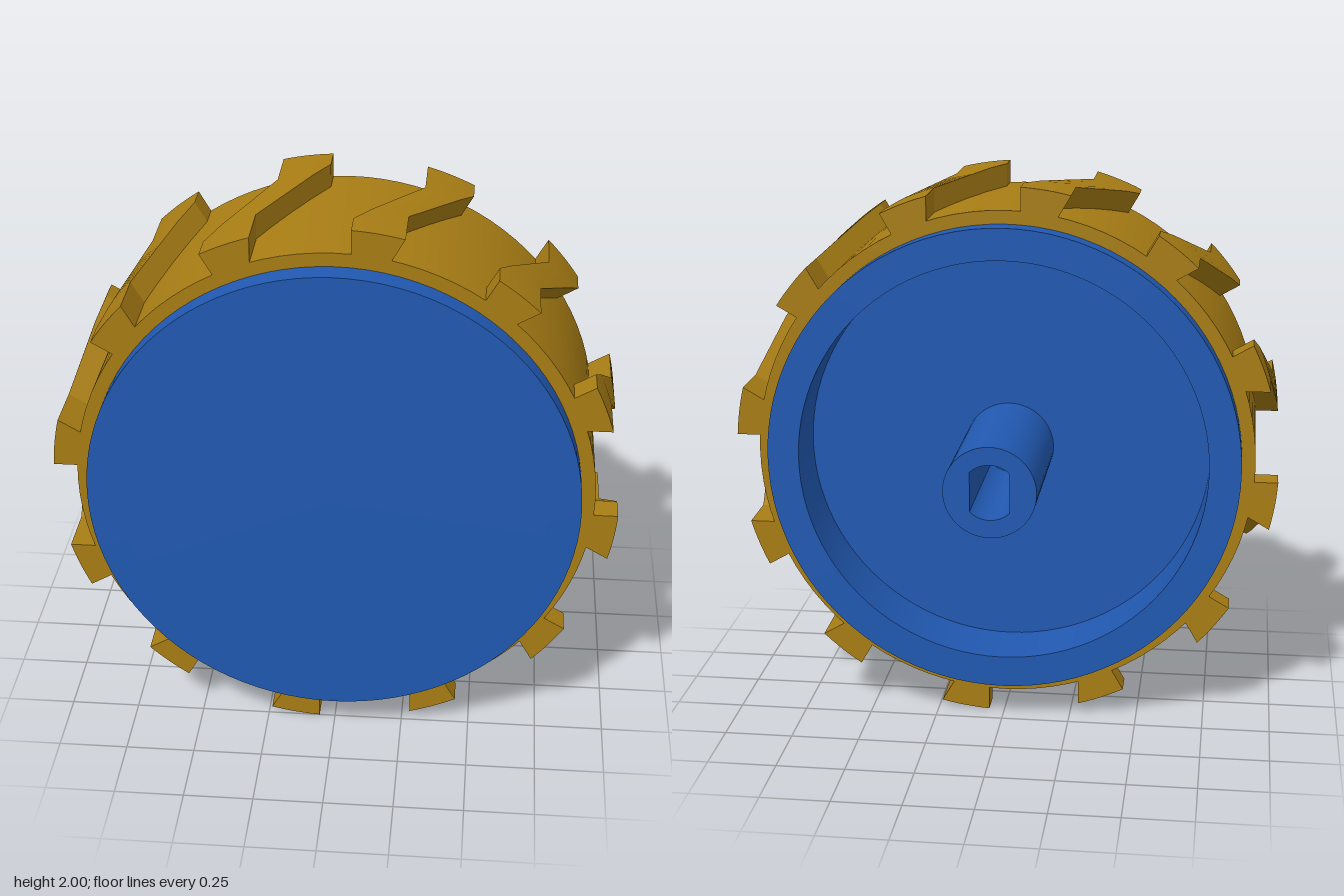
import * as THREE from 'three';
import { toCreasedNormals } from 'three/addons/utils/BufferGeometryUtils.js';

const blue = new THREE.MeshStandardMaterial({ color: 0x2159b2 });
const gold = new THREE.MeshStandardMaterial({ color: 0xa87d14 });

const RIM_R = 0.866, DISC_R = 0.75, TYRE_R = 0.915, LUG_R = 1;
const LUGS = 12, STEP = (Math.PI * 2) / LUGS;

function part(name, geometry, material) {
  const mesh = new THREE.Mesh(toCreasedNormals(geometry, 0.5), material);
  mesh.name = name;
  return mesh;
}

// Rectangular-section ring around the z axis
function ring(rIn, rOut, zBack, zFront) {
  const profile = [[rIn, zBack], [rOut, zBack], [rOut, zFront], [rIn, zFront], [rIn, zBack]]
    .map(([r, z]) => new THREE.Vector2(r, z));
  return new THREE.LatheGeometry(profile, 96).rotateX(Math.PI / 2);
}

// Axle tube with a bore that has two flats
function hubGeometry() {
  const shape = new THREE.Shape().absarc(0, 0, 0.165, 0, Math.PI * 2);
  const r = 0.1, a = Math.acos(0.07 / r);
  const bore = new THREE.Path();
  bore.absarc(0, 0, r, a, Math.PI - a);
  bore.absarc(0, 0, r, Math.PI + a, Math.PI * 2 - a);
  bore.closePath();
  shape.holes.push(bore);
  return new THREE.ExtrudeGeometry(shape, { depth: 0.585, bevelEnabled: false, curveSegments: 32 })
    .translate(0, 0, -0.585);
}

// Value that stays at "front", slopes between two depths, then stays at "back"
function slope(z, zFront, zBack, front, back) {
  const t = THREE.MathUtils.clamp((zFront - z) / (zFront - zBack), 0, 1);
  return front + (back - front) * t;
}

// Tread lug: a curved section whose two sides sweep sideways from front to back
function lugGeometry() {
  const n = 6, inner = TYRE_R - 0.02;
  const stations = [0.5, 0.4, 0.31, 0.025, -0.065, -0.165];
  const sections = stations.map((z) => {
    const low = slope(z, 0.31, -0.065, 0.28, 0.058);
    const high = slope(z, 0.4, 0.025, 0.058, 0.28);
    const arc = (r) => Array.from({ length: n + 1 }, (_, j) => {
      const a0 = Math.asin(low / r), a1 = STEP - Math.asin(high / r);
      const a = a0 + ((a1 - a0) * j) / n;
      return [r * Math.cos(a), r * Math.sin(a), z];
    });
    return [...arc(LUG_R), ...arc(inner).reverse()];
  });
  const pos = [];
  const quad = (a, b, c, d) => pos.push(...a, ...b, ...c, ...a, ...c, ...d);
  const count = 2 * n + 2;
  for (let s = 0; s < sections.length - 1; s++) {
    const f = sections[s], b = sections[s + 1];
    for (let i = 0; i < count; i++) {
      const k = (i + 1) % count;
      quad(f[i], b[i], b[k], f[k]);
    }
  }
  // End faces
  const f = sections[0], b = sections[sections.length - 1];
  for (let j = 0; j < n; j++) {
    const p = count - 1 - j;
    quad(f[j], f[j + 1], f[p - 1], f[p]);
    quad(b[p], b[p - 1], b[j + 1], b[j]);
  }
  const geometry = new THREE.BufferGeometry();
  geometry.setAttribute('position', new THREE.Float32BufferAttribute(pos, 3));
  return geometry;
}

export function createModel() {
  const wheel = new THREE.Group();
  wheel.name = 'wheel';

  // Rim with a solid front disc, recessed at the back
  wheel.add(part('rim', ring(DISC_R, RIM_R, -0.25, 0.585), blue));
  const disc = new THREE.CylinderGeometry(DISC_R, DISC_R, 0.585, 96)
    .rotateX(Math.PI / 2).translate(0, 0, 0.2925);
  wheel.add(part('disc', disc, blue));
  wheel.add(part('hub', hubGeometry(), blue));

  // Tyre band and its tread
  wheel.add(part('tyre', ring(RIM_R, TYRE_R, -0.165, 0.5), gold));
  const tread = new THREE.Group();
  tread.name = 'tread';
  const lug = part('lug', lugGeometry(), gold);
  for (let i = 0; i < LUGS; i++) {
    const copy = lug.clone();
    copy.rotation.z = i * STEP;
    tread.add(copy);
  }
  wheel.add(tread);

  wheel.position.y = 1;
  const model = new THREE.Group();
  model.name = 'treadedWheel';
  model.add(wheel);
  return model;
}
